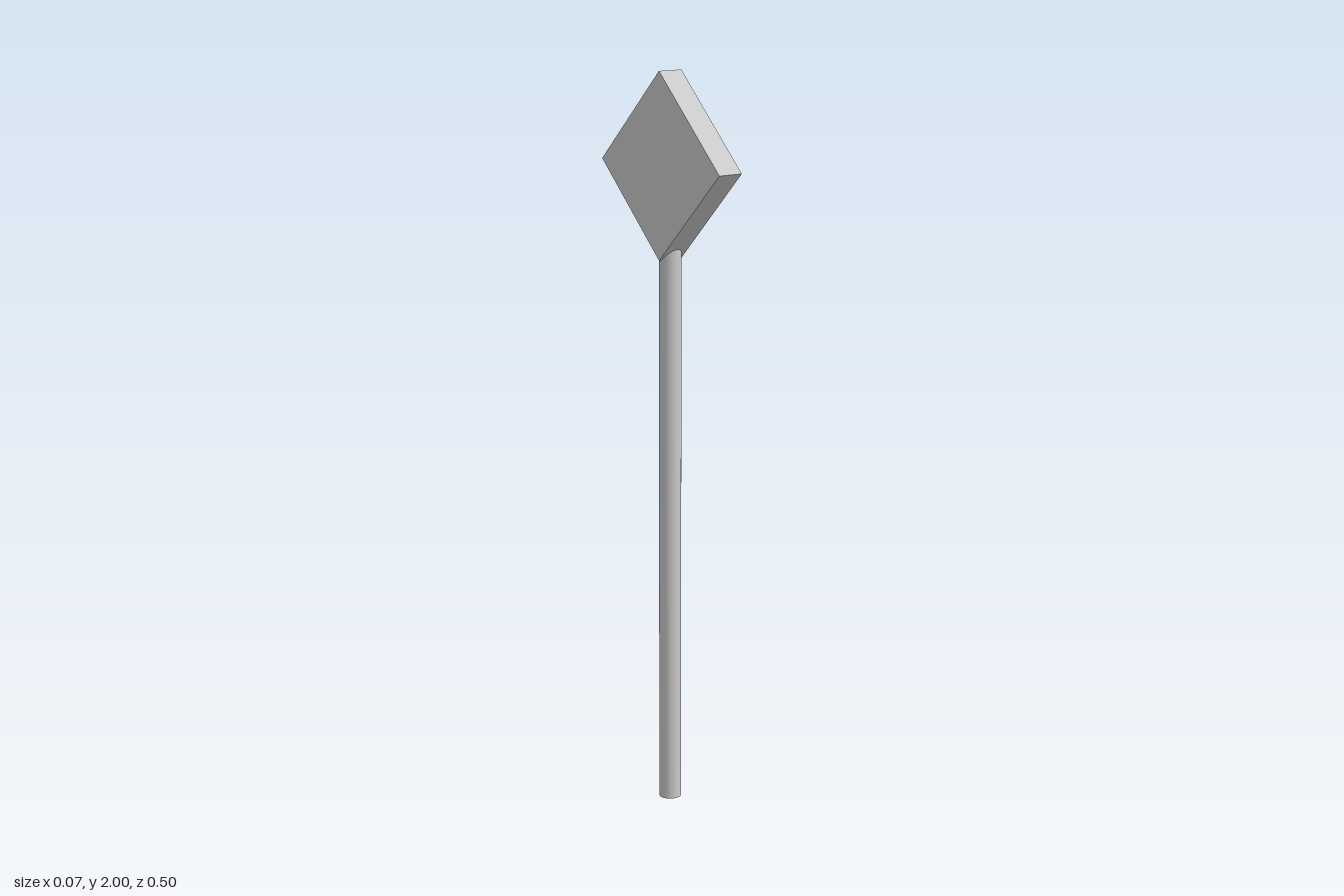
import * as THREE from 'three';

export function createModel() {
  const model = new THREE.Group();
  const material = new THREE.MeshStandardMaterial({ color: 0xcccccc });
  const halfDiagonal = 0.248;
  const side = halfDiagonal * Math.SQRT2;

  // Slender round pole, its top sunk into the head
  const poleHeight = 1.54;
  const pole = new THREE.Mesh(new THREE.CylinderGeometry(0.03, 0.03, poleHeight, 32), material);
  pole.name = 'pole';
  pole.position.y = poleHeight / 2;
  model.add(pole);

  // Thick square head standing on one corner, its flat faces toward the sides
  const head = new THREE.Mesh(new THREE.BoxGeometry(0.074, side, side), material);
  head.name = 'diamondHead';
  head.position.y = 2 - halfDiagonal;
  head.rotation.x = Math.PI / 4;
  model.add(head);

  return model;
}
